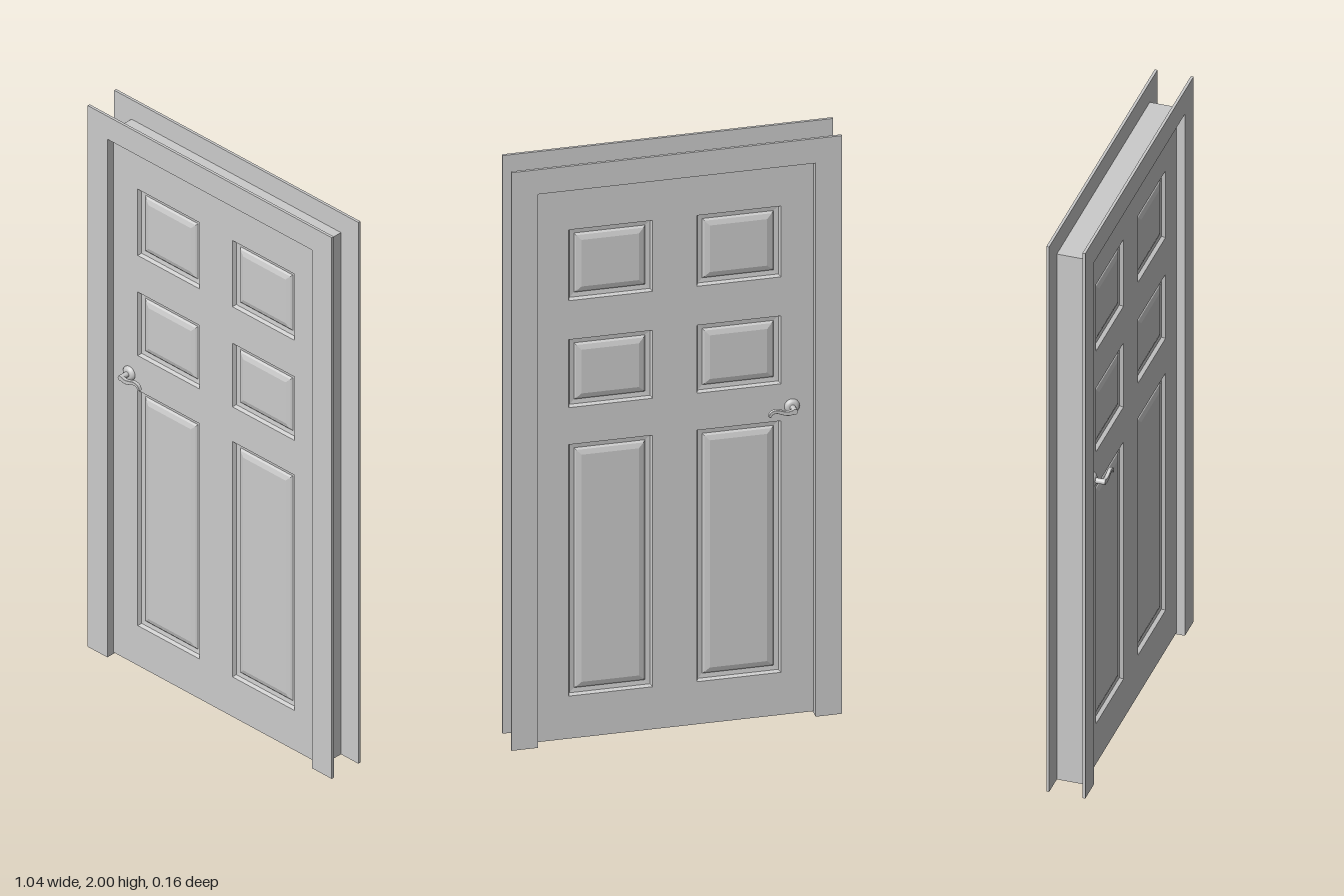
import * as THREE from 'three';

const material = new THREE.MeshStandardMaterial({ color: 0xcccccc });

const FACE = 0.035; // half thickness of the door slab
const OPEN_X = 0.438, OPEN_Y = 1.915; // clear opening of the frame

function add(parent, name, geometry, x = 0, y = 0, z = 0) {
  const mesh = new THREE.Mesh(geometry, material);
  mesh.name = name;
  mesh.position.set(x, y, z);
  parent.add(mesh);
  return mesh;
}

// Upside-down U around the opening, extruded and centred on z
function archGeometry(outerX, outerY, depth) {
  const shape = new THREE.Shape([
    [-outerX, 0], [-OPEN_X, 0], [-OPEN_X, OPEN_Y], [OPEN_X, OPEN_Y],
    [OPEN_X, 0], [outerX, 0], [outerX, outerY], [-outerX, outerY],
  ].map(([x, y]) => new THREE.Vector2(x, y)));
  return new THREE.ExtrudeGeometry(shape, { depth, bevelEnabled: false }).translate(0, 0, -depth / 2);
}

function rectPoints(x0, y0, x1, y1) {
  return [[x0, y0], [x1, y0], [x1, y1], [x0, y1]].map(([x, y]) => new THREE.Vector2(x, y));
}

// Raised panel: nested rectangles stepping into the groove and back up to the field
function panelGeometry(w, h) {
  const profile = [[0, 0], [0.005, -0.012], [0.02, -0.014], [0.026, -0.009], [0.042, -0.004]];
  const rings = profile.map(([inset, z]) =>
    rectPoints(-w / 2 + inset, -h / 2 + inset, w / 2 - inset, h / 2 - inset)
      .map((p) => [p.x, p.y, z]));
  const positions = [];
  const quad = (a, b, c, d) => positions.push(...a, ...b, ...c, ...a, ...c, ...d);
  for (let i = 0; i < rings.length - 1; i++) {
    for (let k = 0; k < 4; k++) {
      const n = (k + 1) % 4;
      quad(rings[i][k], rings[i][n], rings[i + 1][n], rings[i + 1][k]);
    }
  }
  quad(...rings[rings.length - 1]);
  const geometry = new THREE.BufferGeometry();
  geometry.setAttribute('position', new THREE.Float32BufferAttribute(positions, 3));
  geometry.computeVertexNormals();
  return geometry;
}

// Lever handle on a round rose, pointing out along +z from the door face
function createHandle() {
  const handle = new THREE.Group();
  const rose = [[0, 0.012], [0.014, 0.012], [0.019, 0.009], [0.024, 0.004], [0.024, 0]]
    .reverse().map(([r, y]) => new THREE.Vector2(r, y));
  add(handle, 'rose', new THREE.LatheGeometry(rose, 24).rotateX(Math.PI / 2));
  add(handle, 'spindle', new THREE.CylinderGeometry(0.009, 0.009, 0.043, 16).rotateX(Math.PI / 2), 0, 0, 0.0215);

  // Wavy flat lever
  const curve = new THREE.CatmullRomCurve3([
    [0, 0], [0.02, -0.004], [0.038, 0], [0.056, 0.006], [0.072, 0.003], [0.08, -0.009],
  ].map(([x, y]) => new THREE.Vector3(x, y, 0)));
  const upper = [], lower = [];
  for (let i = 0; i <= 20; i++) {
    const t = i / 20;
    const p = curve.getPoint(t), d = curve.getTangent(t);
    const half = 0.007 - 0.0035 * t;
    upper.push(new THREE.Vector2(p.x - d.y * half, p.y + d.x * half));
    lower.push(new THREE.Vector2(p.x + d.y * half, p.y - d.x * half));
  }
  const lever = new THREE.Shape([...lower, ...upper.reverse()]);
  add(handle, 'lever', new THREE.ExtrudeGeometry(lever, {
    depth: 0.008, bevelEnabled: true, bevelSize: 0.001, bevelThickness: 0.002, bevelSegments: 2,
  }), 0, 0, 0.033);
  return handle;
}

export function createModel() {
  const model = new THREE.Group();
  model.name = 'panelDoor';

  // Jamb lining and the flat casing on both sides of the wall
  add(model, 'jamb', archGeometry(0.448, 1.928, 0.114));
  for (const side of [1, -1]) {
    add(model, side > 0 ? 'frontCasing' : 'backCasing', archGeometry(0.522, 2, 0.009), 0, 0, side * 0.0585);
  }

  // Door slab with six panel openings
  const rows = [[0.152, 1.022], [1.15, 1.385], [1.52, 1.765]];
  const slab = new THREE.Shape(rectPoints(-OPEN_X, 0.005, OPEN_X, OPEN_Y));
  const panels = [];
  for (const [y0, y1] of rows) {
    for (const x0 of [-0.335, 0.07]) {
      const x1 = x0 + 0.265;
      slab.holes.push(new THREE.Path(rectPoints(x0, y0, x1, y1).reverse()));
      panels.push({ x: (x0 + x1) / 2, y: (y0 + y1) / 2, w: x1 - x0, h: y1 - y0 });
    }
  }
  const door = new THREE.Group();
  door.name = 'door';
  model.add(door);
  add(door, 'slab', new THREE.ExtrudeGeometry(slab, { depth: 2 * FACE, bevelEnabled: false }), 0, 0, -FACE);

  // Raised panels on both faces
  for (const { x, y, w, h } of panels) {
    for (const side of [1, -1]) {
      const panel = add(door, side > 0 ? 'frontPanel' : 'backPanel', panelGeometry(w, h), x, y, side * FACE);
      if (side < 0) panel.rotation.y = Math.PI;
    }
  }

  // Handles, mirrored through the door
  for (const side of [1, -1]) {
    const handle = createHandle();
    handle.name = side > 0 ? 'frontHandle' : 'backHandle';
    handle.position.set(-0.37, 1.07, side * FACE);
    handle.scale.z = side;
    door.add(handle);
  }
  return model;
}
